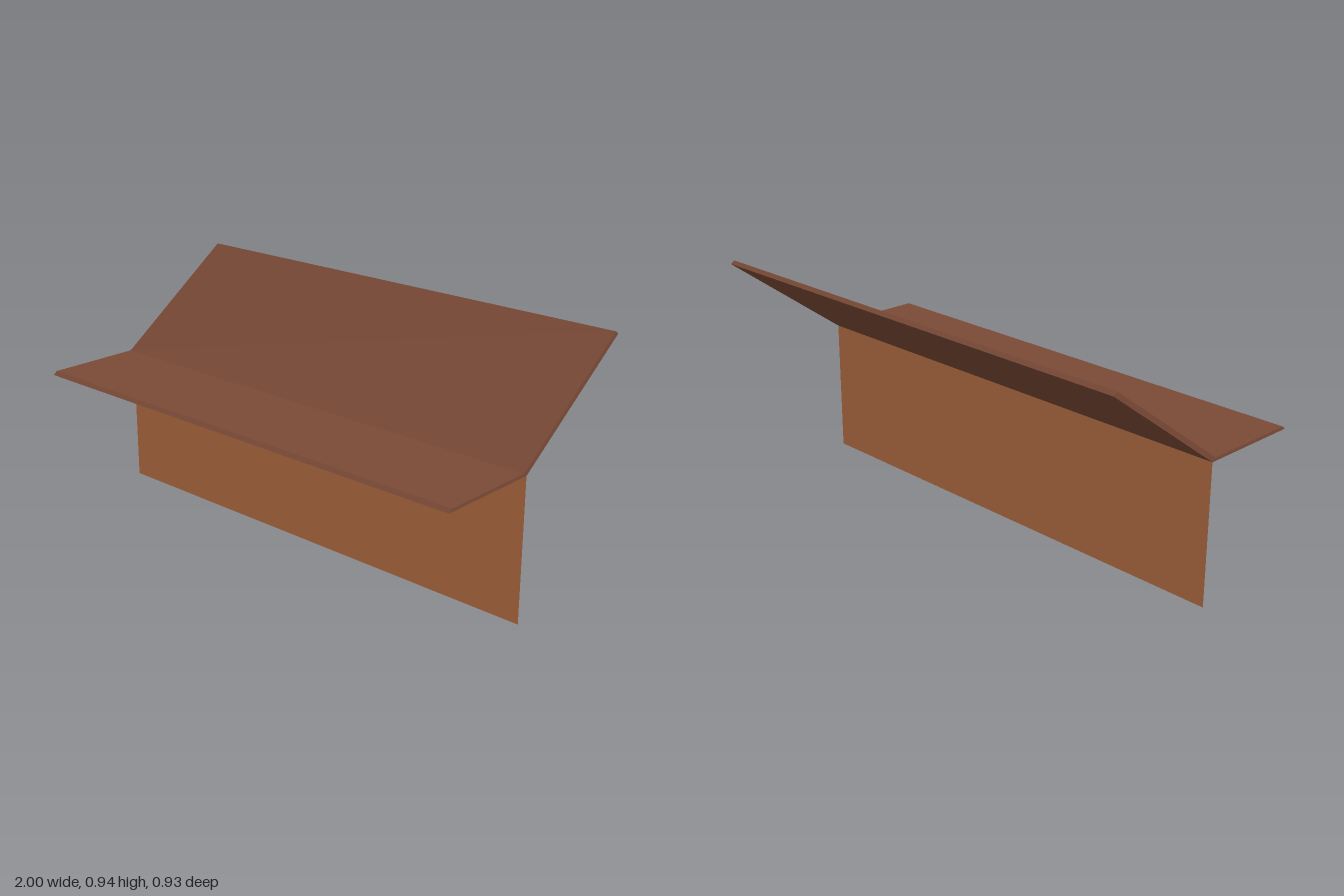
import * as THREE from 'three';

export function createModel() {
  const model = new THREE.Group();
  const brown = new THREE.MeshStandardMaterial({ color: 0x7a4a36 });
  brown.name = 'brown';
  const orange = new THREE.MeshStandardMaterial({ color: 0xc87a4b, side: THREE.DoubleSide });
  orange.name = 'terracotta';
  const length = 2;

  // bent board: flat front ledge and sloping back, as a (z, y) profile
  const profile = new THREE.Shape([
    [0.466, 0.552], [0.45, 0.565], [0.066, 0.565],
    [-0.45, 0.939], [-0.466, 0.927], [0.05, 0.552],
  ].map(([z, y]) => new THREE.Vector2(z, y)));
  const boardGeometry = new THREE.ExtrudeGeometry(profile, { depth: length, bevelEnabled: false });
  boardGeometry.translate(0, 0, -length / 2).rotateY(-Math.PI / 2);
  const board = new THREE.Mesh(boardGeometry, brown);
  board.name = 'bentBoard';
  model.add(board);

  // thin upright panel below the bend
  const panelHeight = 0.552;
  const panel = new THREE.Mesh(new THREE.PlaneGeometry(length, panelHeight), orange);
  panel.position.set(0, panelHeight / 2, 0.05);
  panel.name = 'uprightPanel';
  model.add(panel);

  return model;
}
